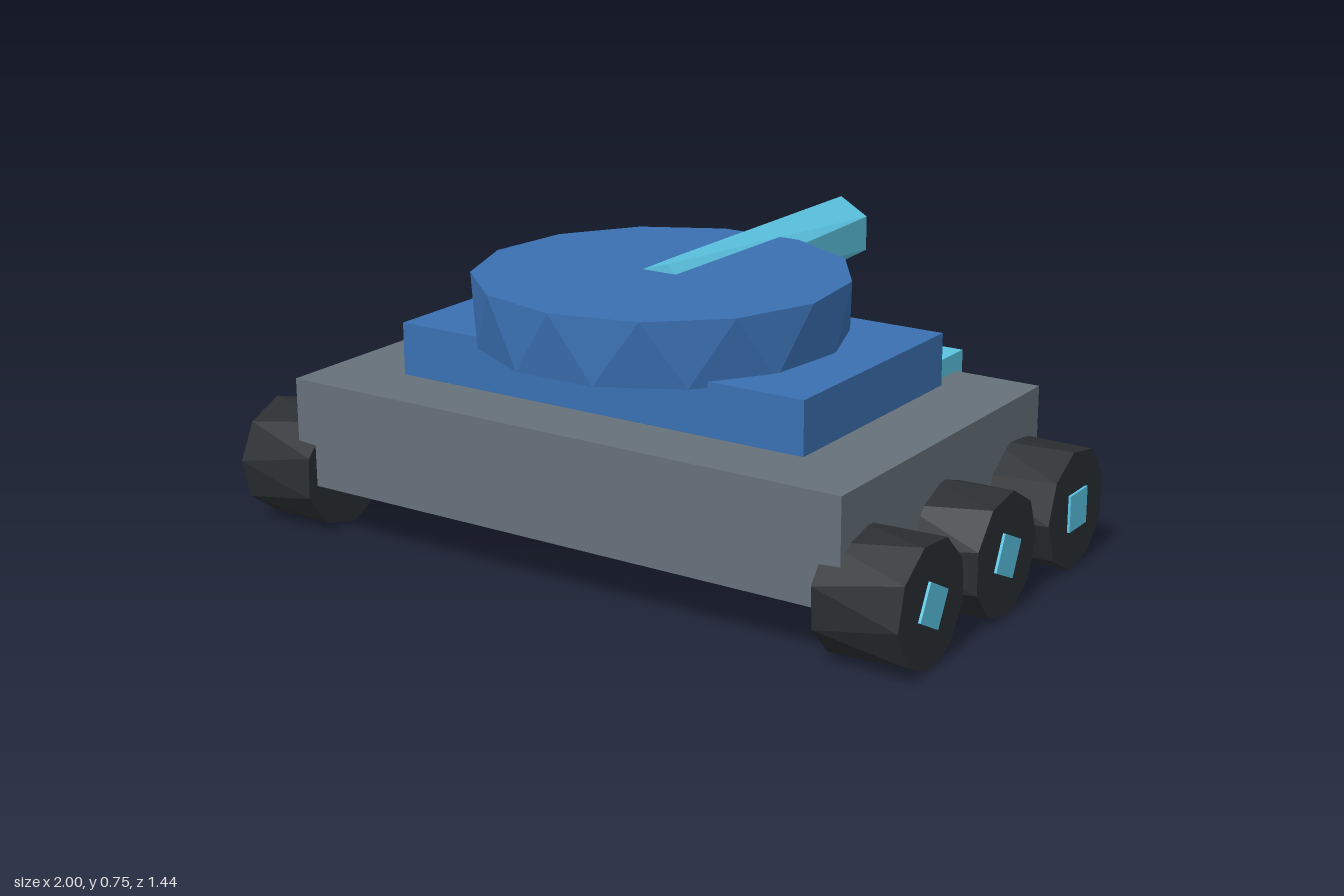
import * as THREE from 'three';

const mat = (color) => new THREE.MeshStandardMaterial({ color, flatShading: true });

// Low-poly cylinder along y whose lower ring is turned, giving triangular facets
function twistedCylinder(rTop, rBottom, length, sides, phase, twist) {
  const g = new THREE.CylinderGeometry(rTop, rBottom, length, sides);
  const p = g.attributes.position;
  const v = new THREE.Vector3();
  const up = new THREE.Vector3(0, 1, 0);
  for (let i = 0; i < p.count; i++) {
    v.fromBufferAttribute(p, i).applyAxisAngle(up, phase + (v.y < 0 ? twist : 0));
    p.setXYZ(i, v.x, v.y, v.z);
  }
  g.computeVertexNormals();
  return g;
}

export function createModel() {
  const model = new THREE.Group();
  model.name = 'tank';
  const grey = mat(0x66717a), blue = mat(0x3a70b2), cyan = mat(0x5cc4e2), black = mat(0x2b2f32);

  const add = (name, geometry, material, x, y, z) => {
    const mesh = new THREE.Mesh(geometry, material);
    mesh.name = name;
    mesh.position.set(x, y, z);
    model.add(mesh);
    return mesh;
  };
  // Box from its lower and upper limits, symmetric in x
  const slab = (name, material, halfX, y0, y1, z0, z1) =>
    add(name, new THREE.BoxGeometry(halfX * 2, y1 - y0, z1 - z0), material, 0, (y0 + y1) / 2, (z0 + z1) / 2);

  // Body
  slab('hull', grey, 0.82, 0.14, 0.425, -0.325, 0.68);
  slab('deck', blue, 0.608, 0.4, 0.565, -0.19, 0.495);
  slab('rearBar', cyan, 0.58, 0.33, 0.475, -0.358, -0.18);

  // Turret
  add('turret', twistedCylinder(0.49, 0.482, 0.17, 13, 0, Math.PI / 13), blue, -0.01, 0.635, 0.175);

  // Barrel, lying over the turret and pointing to -z
  const barrel = twistedCylinder(0.097, 0.096, 0.91, 6, 0, 0.22);
  barrel.rotateX(-Math.PI / 2);
  add('barrel', barrel, cyan, -0.006, 0.65, -0.265);

  // Three wheels with square hubs on each side: z, wheel phase, twist, hub phase
  const wheels = [
    [0.56, 0.1, 0.3, 0.3],
    [0.185, 0.35, 0.22, 0.35],
    [-0.205, 0.0, 0.08, Math.PI / 4],
  ];
  for (const side of [1, -1]) {
    for (const [z, phase, twist, hubPhase] of wheels) {
      const tyre = twistedCylinder(0.16, 0.16, 0.23, 9, phase, twist);
      tyre.rotateZ(-side * Math.PI / 2);
      add('wheel', tyre, black, side * 0.878, 0.16, z);
      const hub = twistedCylinder(0.069, 0.069, 0.06, 4, hubPhase, 0);
      hub.rotateZ(-side * Math.PI / 2);
      add('hub', hub, cyan, side * 0.97, 0.16, z);
    }
  }
  return model;
}
